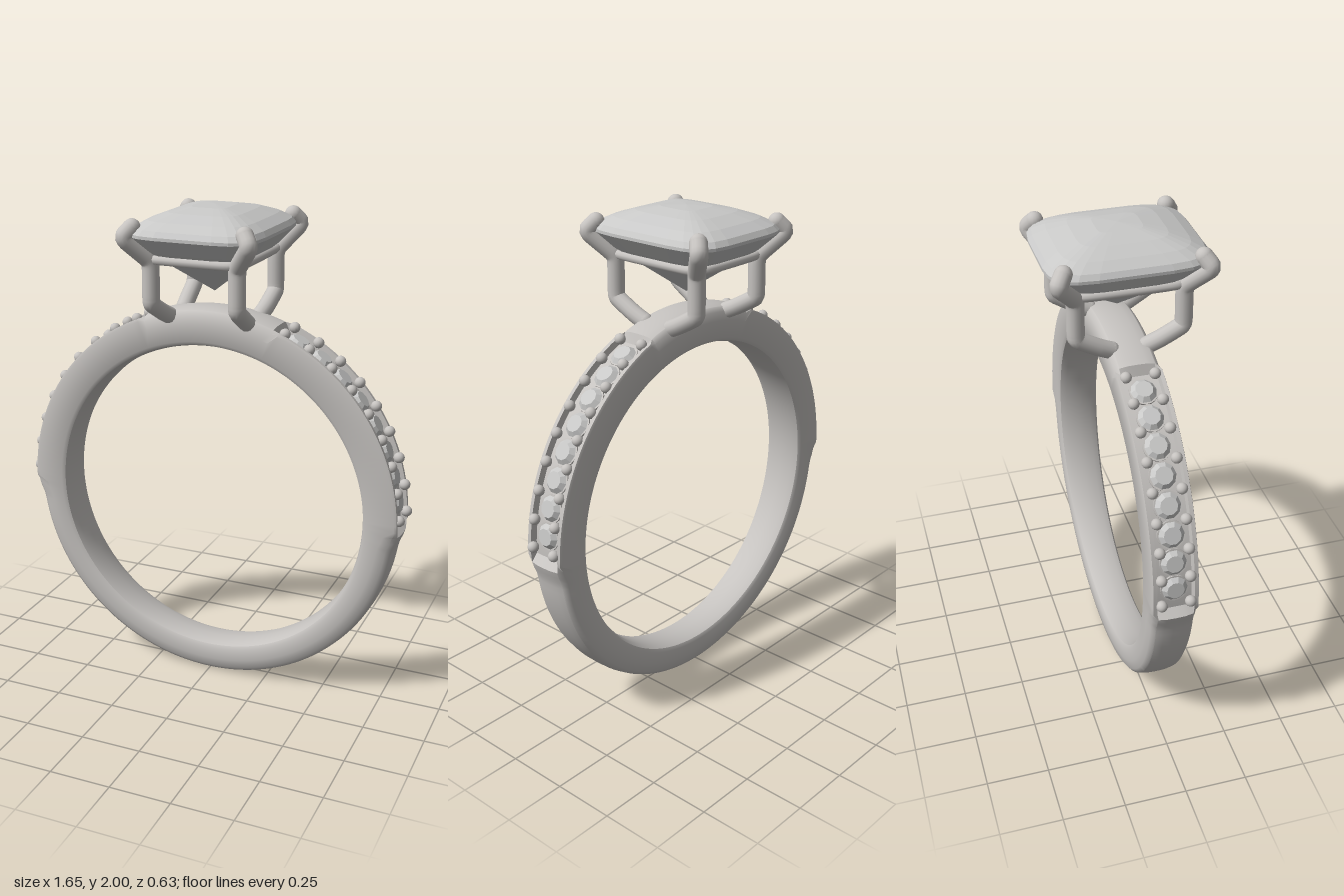
import * as THREE from 'three';
import { toCreasedNormals } from 'three/addons/utils/BufferGeometryUtils.js';

const CY = 0.79; // height of the ring's centre
const metal = new THREE.MeshStandardMaterial({ color: 0xc6c3c0 });
metal.name = 'silver metal';
const stone = new THREE.MeshStandardMaterial({ color: 0xc9c9c8 });
stone.name = 'pale stone';

function add(parent, name, geometry, material) {
  const mesh = new THREE.Mesh(geometry, material);
  mesh.name = name;
  parent.add(mesh);
  return mesh;
}

// Joins equal-sized closed loops of points into a surface
function loft(loops, closed) {
  const n = loops[0].length, pos = loops.flat(2), index = [];
  const rows = closed ? loops.length : loops.length - 1;
  for (let i = 0; i < rows; i++) {
    const k = (i + 1) % loops.length;
    for (let j = 0; j < n; j++) {
      const m = (j + 1) % n;
      const a = i * n + j, b = i * n + m, c = k * n + j, d = k * n + m;
      index.push(a, b, c, b, d, c);
    }
  }
  const g = new THREE.BufferGeometry();
  g.setAttribute('position', new THREE.Float32BufferAttribute(pos, 3));
  g.setIndex(index);
  return g;
}

// Cushion outline: a superellipse in the xz plane
function cushion(a, b, power, y, count) {
  const bend = (v) => Math.sign(v) * Math.abs(v) ** (2 / power);
  return Array.from({ length: count }, (_, i) => {
    const t = ((i + 0.5) / count) * Math.PI * 2;
    return [a * bend(Math.cos(t)), y, b * bend(Math.sin(t))];
  });
}

// Band section at an angle: rounded below and on top, channelled on the shoulders
function bandSection(deg) {
  const t = (deg * Math.PI) / 180;
  const e = (Math.asin(Math.sin(t)) * 180) / Math.PI;
  const w = 0.08 + 0.011 * THREE.MathUtils.smoothstep(e, -90, 0);
  const channel = e > -1 && e < 70;
  const flare = 0.02 * Math.exp(-(((e + 2) / 3) ** 2));
  const R = channel ? 0.802 : (e > 0 ? 0.81 : 0.79 + flare);
  const drop = channel ? [0.01, 0, 0, 0.026, 0.026, 0.026]
    : [0.06, 0.025, 0.008, 0.007, 0.001, 0];
  const across = channel ? [1, 0.96, 0.79, 0.75, 0.4, 0] : [1, 0.93, 0.77, 0.74, 0.4, 0];
  const half = [[0.655, 0], [0.657, 0.6], [0.666, 0.9], [0.68, 1]];
  across.forEach((z, i) => half.push([R - drop[i], z]));
  const mirror = half.slice(1, -1).reverse().map(([r, z]) => [r, -z]);
  return [...half, ...mirror].map(([r, z]) => [r * Math.cos(t), CY + r * Math.sin(t), z * w]);
}

function buildBand(group) {
  const loops = [];
  for (let d = 0; d < 360; d += 2) loops.push(bandSection(d));
  add(group, 'band', toCreasedNormals(loft(loops, true), 0.6), metal);
}

// Rows of small stones held by paired beads on both shoulders
function buildShoulders(group) {
  const rim = new THREE.CylinderGeometry(0.034, 0.051, 0.018, 10).toNonIndexed();
  rim.computeVertexNormals();
  const bead = new THREE.SphereGeometry(0.022, 14, 10);
  for (const side of [1, -1]) {
    const shoulder = new THREE.Group();
    shoulder.name = side > 0 ? 'leftShoulder' : 'rightShoulder';
    group.add(shoulder);
    const place = (mesh, deg, r, z) => {
      const t = (deg * Math.PI) / 180;
      mesh.position.set(side * r * Math.cos(t), CY + r * Math.sin(t), z);
      mesh.rotation.z = side * (t - Math.PI / 2);
    };
    for (let i = 0; i < 9; i++) {
      if (i < 8) {
        place(add(shoulder, 'smallStone', rim, stone), 6.8 + 8 * i, 0.79, 0);
        const seat = new THREE.CylinderGeometry(0.055, 0.055, 0.012, 20);
        place(add(shoulder, 'stoneSeat', seat, metal), 6.8 + 8 * i, 0.776, 0);
      }
      for (const z of [-0.056, 0.056]) {
        place(add(shoulder, 'bead', bead, metal), 2.8 + 8 * i, 0.804, z);
      }
    }
  }
}

// Large cushion-cut stone: [scale, height] from point to dome
function buildCentreStone(group) {
  const steps = [[0.001, 1.66], [0.57, 1.785], [0.8, 1.838], [1, 1.9], [1, 1.912],
    [0.95, 1.932], [0.79, 1.957], [0.55, 1.981], [0.28, 1.996], [0.001, 2]];
  const loops = steps.map(([s, y]) => cushion(0.265 * s, 0.312 * s, 5, y, 24));
  const g = loft(loops, false);
  // reverse the corner order so the faces look outward
  const outward = g.index.array.slice();
  for (let i = 0; i < outward.length; i += 3) {
    [outward[i + 1], outward[i + 2]] = [outward[i + 2], outward[i + 1]];
  }
  const center = new THREE.Vector3(0, 1.85, 0);
  const p = (k) => new THREE.Vector3().fromBufferAttribute(g.attributes.position, k);
  const mid = 3 * 24 * 6; // a face on the girdle
  const [a, b, c] = [0, 1, 2].map((k) => p(g.index.array[mid + k]));
  const normal = b.clone().sub(a).cross(c.clone().sub(a));
  if (normal.dot(a.clone().sub(center)) < 0) g.setIndex(new THREE.BufferAttribute(outward, 1));
  const flat = g.toNonIndexed();
  flat.computeVertexNormals();
  add(group, 'centreStone', flat, stone);
}

// Four claws and the rail that joins them
function buildSetting(group) {
  const path = [[0.165, 1.56, 0.07], [0.172, 1.585, 0.12], [0.178, 1.632, 0.2], [0.178, 1.66, 0.208],
    [0.178, 1.78, 0.208], [0.188, 1.812, 0.218], [0.245, 1.885, 0.276],
    [0.25, 1.905, 0.281], [0.228, 1.935, 0.26]];
  for (const sx of [1, -1]) {
    for (const sz of [1, -1]) {
      const claw = new THREE.Group();
      claw.name = (sz > 0 ? 'front' : 'back') + (sx > 0 ? 'Left' : 'Right') + 'Claw';
      group.add(claw);
      const pts = path.map(([x, y, z]) => new THREE.Vector3(sx * x, y, sz * z));
      const curve = new THREE.CatmullRomCurve3(pts, false, 'catmullrom', 0.3);
      add(claw, 'clawWire', new THREE.TubeGeometry(curve, 60, 0.034, 14), metal);
      for (const end of [pts[0], pts[pts.length - 1]]) {
        add(claw, 'clawEnd', new THREE.SphereGeometry(0.034, 14, 10), metal).position.copy(end);
      }
    }
  }
  const outline = cushion(0.19, 0.225, 8, 1.81, 32).map((q) => new THREE.Vector3(...q));
  const rail = new THREE.CatmullRomCurve3(outline, true);
  add(group, 'galleryRail', new THREE.TubeGeometry(rail, 120, 0.018, 10, true), metal);
}

export function createModel() {
  const group = new THREE.Group();
  group.name = 'ring';
  buildBand(group);
  buildShoulders(group);
  buildSetting(group);
  buildCentreStone(group);
  return group;
}
